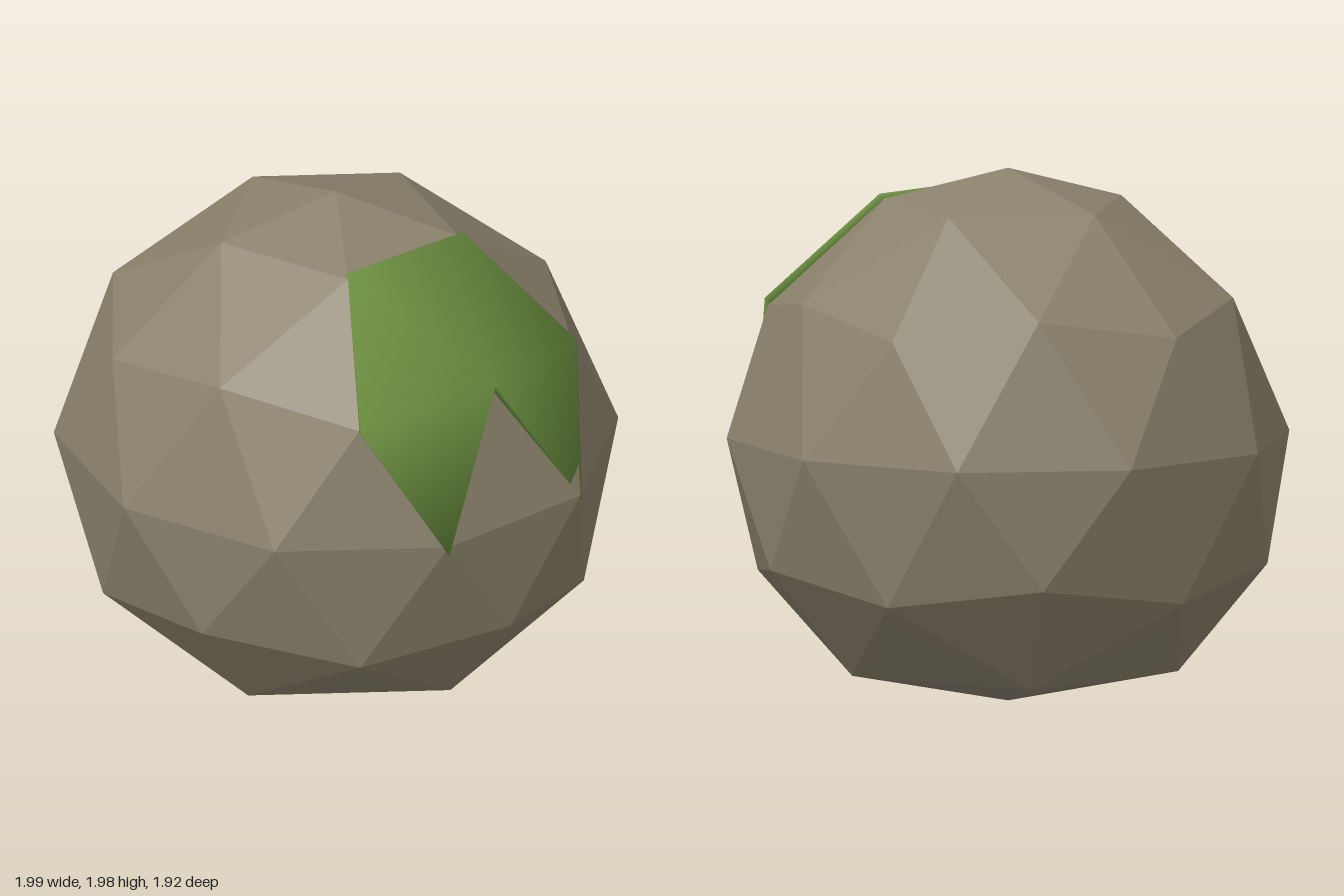
import * as THREE from 'three';

const stone = new THREE.MeshStandardMaterial({ color: 0x8a816b });
stone.name = 'stone';
const moss = new THREE.MeshStandardMaterial({ color: 0x6c9040 });
moss.name = 'moss';

// Faceted boulder: an icosphere standing on a corner, wider at the bottom
function createBoulder() {
  const geo = new THREE.IcosahedronGeometry(1, 1);
  geo.rotateX(-Math.atan((1 + Math.sqrt(5)) / 2));
  geo.rotateY(Math.PI / 2);
  const pos = geo.attributes.position;
  for (let i = 0; i < pos.count; i++) {
    const x = pos.getX(i), y = pos.getY(i), z = pos.getZ(i);
    const k = 1.046 - 0.05 * y - 0.2 * y ** 3;
    pos.setXYZ(i, x * k, 1 + y + 0.05 * y ** 3 - 0.06 * y ** 7, z * k * 0.92);
  }
  geo.computeVertexNormals(); // unindexed, so every facet stays flat
  const mesh = new THREE.Mesh(geo, stone);
  mesh.name = 'boulder';
  return mesh;
}

// Smooth normals weighted by corner angle, so the thin rim rounds off the patch
function angleNormals(points, tris) {
  const normals = points.map(() => new THREE.Vector3());
  for (const tri of tris) {
    const p = tri.map(i => points[i]);
    const n = new THREE.Triangle(...p).getNormal(new THREE.Vector3());
    tri.forEach((v, c) => {
      const a = p[(c + 1) % 3].clone().sub(p[c]);
      const b = p[(c + 2) % 3].clone().sub(p[c]);
      normals[v].addScaledVector(n, a.angleTo(b));
    });
  }
  return normals.map(n => n.normalize());
}

// Moss patch: a thin closed shell with two points hanging down
function createMoss() {
  const outer = [
    [0.48, 1.88, -0.005], [0.14, 1.885, 0.395], [0.29, 1.46, 0.815], [0.62, 0.97, 0.79],
    [0.72, 1.53, 0.475], [1.0, 0.98, 0.29], [0.91, 1.48, -0.005],
  ].map(p => new THREE.Vector3(...p));
  const centre = new THREE.Vector3(0, 1, 0);
  const inner = outer.map(p => p.clone().lerp(centre, 0.035));
  const points = [...outer, ...inner];
  const n = outer.length;

  const tris = [];
  for (const [a, b, c] of [[0, 1, 4], [1, 2, 4], [2, 3, 4], [0, 4, 6], [6, 4, 5]]) {
    tris.push([a, b, c], [a + n, c + n, b + n]);
  }
  // rim wall
  for (let a = 0; a < n; a++) {
    const b = (a + 1) % n;
    tris.push([b, a, a + n], [b, a + n, b + n]);
  }

  const geo = new THREE.BufferGeometry().setFromPoints(points);
  geo.setIndex(tris.flat());
  const normals = angleNormals(points, tris).flatMap(v => v.toArray());
  geo.setAttribute('normal', new THREE.Float32BufferAttribute(normals, 3));
  const mesh = new THREE.Mesh(geo, moss);
  mesh.name = 'mossPatch';
  return mesh;
}

export function createModel() {
  const group = new THREE.Group();
  group.name = 'mossyBoulder';
  group.add(createBoulder(), createMoss());
  group.position.y = -0.01;
  return group;
}
